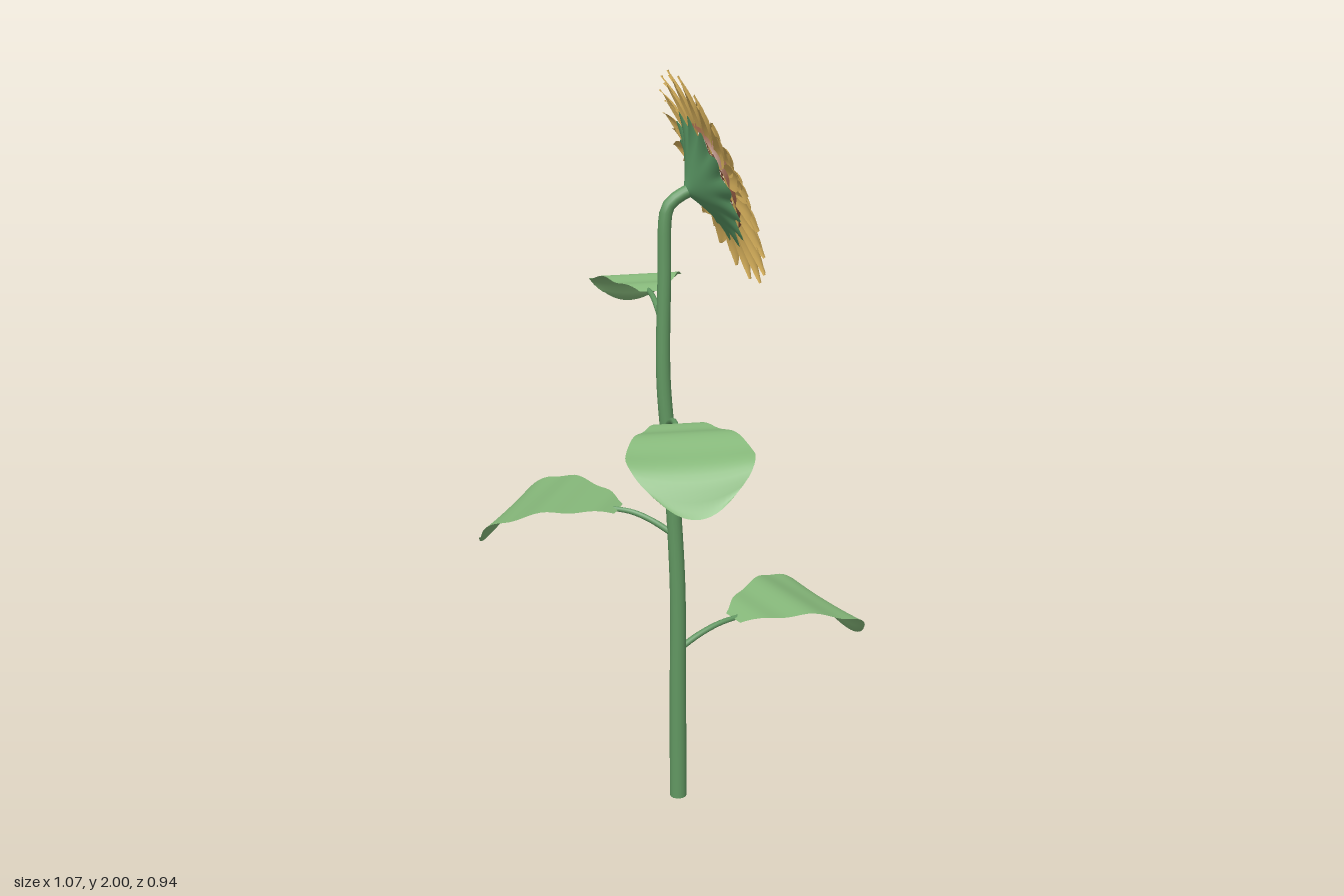
import * as THREE from 'three';
import { mergeGeometries } from 'three/addons/utils/BufferGeometryUtils.js';

const V = (x, y, z) => new THREE.Vector3(x, y, z);
const mat = (name, color, side = THREE.FrontSide) => {
  const m = new THREE.MeshStandardMaterial({ color, side });
  m.name = name;
  return m;
};

const mesh = (name, geometry, material) => {
  const m = new THREE.Mesh(geometry, material);
  m.name = name;
  return m;
};

// Smooth interpolation through evenly spaced values
function profile(values) {
  const curve = new THREE.SplineCurve(values.map((y, i) => new THREE.Vector2(i / (values.length - 1), y)));
  return (u) => curve.getPoint(u).y;
}

// Curved surface: fn(u, v) gives a point, u and v run 0..1
function sheet(nu, nv, fn) {
  const pos = [], idx = [];
  for (let i = 0; i <= nu; i++)
    for (let j = 0; j <= nv; j++) pos.push(...fn(i / nu, j / nv).toArray());
  for (let i = 0; i < nu; i++)
    for (let j = 0; j < nv; j++) {
      const a = i * (nv + 1) + j, b = a + nv + 1;
      idx.push(a, a + 1, b, a + 1, b + 1, b);
    }
  const g = new THREE.BufferGeometry();
  g.setAttribute('position', new THREE.Float32BufferAttribute(pos, 3));
  g.setIndex(idx);
  g.computeVertexNormals();
  return g;
}

// Tube along points, with radius running from r0 to r1
function taperedTube(points, r0, r1, segments, sides) {
  const path = new THREE.CatmullRomCurve3(points);
  const g = new THREE.TubeGeometry(path, segments, 1, sides);
  const p = g.attributes.position, v = V(0, 0, 0);
  for (let i = 0; i < p.count; i++) {
    const t = Math.floor(i / (sides + 1)) / segments;
    const c = path.getPointAt(t);
    v.fromBufferAttribute(p, i).sub(c).multiplyScalar(r0 + (r1 - r0) * t).add(c);
    p.setXYZ(i, v.x, v.y, v.z);
  }
  return g;
}

export function createModel() {
  const stemGreen = mat('stem green', 0x629862, THREE.DoubleSide);
  const leafGreen = mat('leaf green', 0x86b87a, THREE.DoubleSide);
  const calyxGreen = mat('calyx green', 0x5c9a66, THREE.DoubleSide);
  const petalYellow = mat('petal yellow', 0xdfb75f, THREE.DoubleSide);
  const seedBrown = mat('seed brown', 0x8f5a42);
  const model = new THREE.Group();
  model.name = 'sunflower';

  // Stem with a hooked neck
  const z0 = -0.024;
  const stem = taperedTube([
    V(-0.022, 0, z0), V(-0.022, 0.35, z0), V(-0.022, 0.65, z0), V(-0.04, 1, z0),
    V(-0.057, 1.23, z0), V(-0.053, 1.5, z0), V(-0.05, 1.64, z0),
    V(-0.043, 1.668, z0), V(-0.02, 1.69, z0), V(0.014, 1.707, z0),
  ], 0.024, 0.016, 80, 14);
  model.add(mesh('stem', stem, stemGreen));
  const base = mesh('stemBase', new THREE.CircleGeometry(0.024, 14), stemGreen);
  base.rotation.x = Math.PI / 2;
  base.position.set(-0.022, 0.001, z0);
  model.add(base);

  // Leaves: local +x runs outward from the stem, blades widest near a blunt end
  const width = profile([0.2, 0.44, 0.6, 0.74, 0.88, 0.98, 1, 0.88, 0.58]);
  const drop = profile([0.16, 0.06, 0.02, 0, 0.04, 0.13, 0.28, 0.54, 1]);
  const leaves = [
    { name: 'lowLeftLeaf', x: -0.022, dir: [0.961, -0.276], root: 0.455, top: 0.53, tip: 0.37, s0: 0.18, s1: 0.585, w: 0.178 },
    { name: 'lowRightLeaf', x: -0.035, dir: [-0.85, -0.53], root: 0.8, top: 0.877, tip: 0.728, s0: 0.15, s1: 0.535, w: 0.178 },
    { name: 'frontLeaf', x: -0.048, dir: [-0.12, 0.99], root: 1.1, top: 1.18, tip: 1.043, s0: 0.16, s1: 0.495, w: 0.152 },
    { name: 'backLeaf', x: -0.055, dir: [0.045, -0.999], root: 1.36, top: 1.432, tip: 1.328, s0: 0.175, s1: 0.448, w: 0.127 },
  ];
  for (const L of leaves) {
    const leaf = new THREE.Group();
    leaf.name = L.name;
    leaf.position.set(L.x, 0, z0);
    leaf.rotation.y = Math.atan2(-L.dir[1], L.dir[0]);
    const fall = L.top - L.tip;
    const startY = L.top - 0.16 * fall;
    const blade = sheet(28, 16, (u, v) => {
      const t = v * 2 - 1;
      // Rounded end corners and a gentle ripple along the blade
      const s = L.s0 + u * (L.s1 - L.s0) - 0.025 * u ** 4 * t * t;
      const y = L.top - fall * drop(u) * (1 - 0.3 * u * t * t) + 0.004 * Math.sin(u * 18);
      return V(s, y, t * L.w * width(u));
    });
    leaf.add(mesh('leafBlade', blade, leafGreen));
    const stalk = taperedTube([
      V(0, L.root, 0), V(L.s0 * 0.4, L.root + (startY - L.root) * 0.6, 0),
      V(L.s0 * 0.75, startY - 0.004, 0), V(L.s0 + 0.02, startY, 0),
    ], 0.009, 0.007, 14, 8);
    leaf.add(mesh('leafStalk', stalk, stemGreen));
    model.add(leaf);
  }

  // Flower head: local +z is the direction the flower faces
  const head = new THREE.Group();
  head.name = 'flowerHead';
  head.position.set(0.088, 1.74, -0.022);
  head.lookAt(head.position.clone().add(V(0.925, 0.379, 0)));
  model.add(head);

  // Calyx: shallow funnel whose rim breaks into pointed sepals
  const calyx = sheet(14, 112, (u, v) => {
    const a = v * Math.PI * 2;
    const r = 0.016 + 0.124 * u + (0.02 + 0.02 * Math.cos(14 * a)) * u ** 6;
    return V(r * Math.cos(a), r * Math.sin(a), -0.09 + 0.062 * u ** 0.9);
  });
  head.add(mesh('calyx', calyx, calyxGreen));

  // Three overlapping rings of pointed petals
  const petalWidth = profile([0.5, 0.78, 0.96, 1, 0.88, 0.55, 0.04]);
  const rings = [
    { name: 'backPetals', tip: 0.285, w: 0.034, z: -0.016, turn: 0 },
    { name: 'middlePetals', tip: 0.276, w: 0.032, z: -0.008, turn: 0.5 },
    { name: 'frontPetals', tip: 0.226, w: 0.028, z: 0, turn: 0.25 },
  ];
  const count = 18;
  for (const R of rings) {
    const petals = [];
    for (let k = 0; k < count; k++) {
      const length = R.tip - 0.11 - 0.008 * Math.abs(Math.sin(k * 2.3));
      const petal = sheet(10, 6, (u, v) => {
        const t = v * 2 - 1;
        const z = R.z - 0.008 * u * u + 0.011 * (1 - t * t) * Math.sin(Math.PI * u);
        return V(t * R.w * petalWidth(u), 0.11 + length * u, z + 0.003 * t);
      });
      petals.push(petal.rotateZ((k + R.turn) / count * Math.PI * 2));
    }
    head.add(mesh(R.name, mergeGeometries(petals), petalYellow));
  }

  // Seed disc: low dome covered in flat spiralling seeds
  const dome = (r) => 0.014 - 0.01 * (r / 0.14) ** 2;
  const discPoints = [[0.14, -0.02], [0.141, dome(0.14)], [0.11, dome(0.11)], [0.07, dome(0.07)], [0, dome(0)]];
  const disc = new THREE.LatheGeometry(discPoints.map(([r, y]) => new THREE.Vector2(r, y)), 48);
  head.add(mesh('seedDisc', disc.rotateX(Math.PI / 2), seedBrown));
  const seeds = [];
  const seedCount = 240;
  for (let k = 0; k < seedCount; k++) {
    const r = 0.134 * Math.sqrt((k + 0.5) / seedCount), a = k * 2.39996;
    const seed = new THREE.SphereGeometry(0.008, 8, 6).scale(1, 1, 0.18);
    seeds.push(seed.translate(r * Math.cos(a), r * Math.sin(a), dome(r)));
  }
  head.add(mesh('seeds', mergeGeometries(seeds), seedBrown));

  return model;
}
